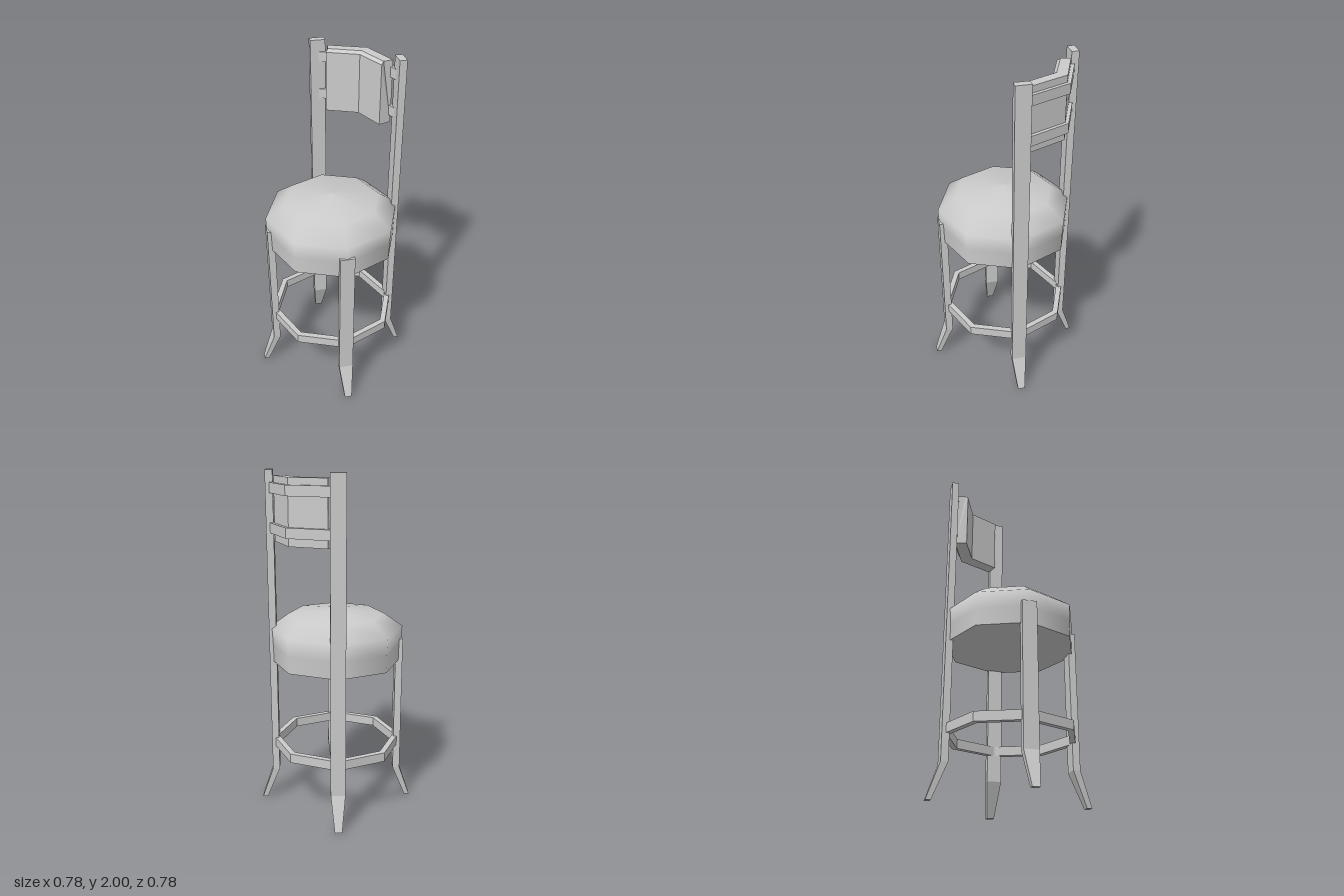
import * as THREE from 'three';

const grey = () => new THREE.MeshStandardMaterial({ color: 0xcccccc, flatShading: true });

// Join equal-length loops of points into a closed solid with capped ends.
function loft(loops) {
  const pos = [];
  const tri = (a, b, c) => pos.push(...a, ...b, ...c);
  for (let s = 0; s < loops.length - 1; s++) {
    const a = loops[s], b = loops[s + 1];
    a.forEach((p, i) => {
      const j = (i + 1) % a.length;
      tri(p, a[j], b[j]);
      tri(p, b[j], b[i]);
    });
  }
  const first = loops[0], last = loops[loops.length - 1];
  for (let i = 1; i < first.length - 1; i++) {
    tri(first[0], first[i + 1], first[i]);
    tri(last[0], last[i], last[i + 1]);
  }
  const g = new THREE.BufferGeometry();
  g.setAttribute('position', new THREE.Float32BufferAttribute(pos, 3));
  g.computeVertexNormals();
  return g;
}

// Octagon corners from step a to step b; step 2 points to the back.
function corners(r, a, b) {
  const pts = [];
  for (let i = a; i <= b; i++) {
    pts.push(new THREE.Vector2(r * Math.cos(i * Math.PI / 4), r * Math.sin(i * Math.PI / 4)));
  }
  return pts;
}

function slab(shape, y, height) {
  const g = new THREE.ExtrudeGeometry(shape, { depth: height, bevelEnabled: false });
  g.rotateX(-Math.PI / 2);
  g.translate(0, y, 0);
  return g;
}

export function createModel() {
  const model = new THREE.Group();
  model.name = 'barStool';
  const add = (name, geometry, material = grey()) => {
    const mesh = new THREE.Mesh(geometry, material);
    mesh.name = name;
    model.add(mesh);
    return mesh;
  };

  // Padded octagonal seat with a softly shaded low crown
  const profile = [[0.385, 0.9], [0.387, 1.0], [0.392, 1.1], [0.28, 1.18], [0, 1.217]]
    .map(([x, y]) => new THREE.Vector2(x, y));
  add('seatCushion', new THREE.LatheGeometry(profile, 8),
    new THREE.MeshStandardMaterial({ color: 0xcccccc }));
  const base = new THREE.CircleGeometry(0.385, 8);
  base.rotateX(Math.PI / 2);
  base.translate(0, 0.9, 0);
  add('seatBase', base);

  // Legs: local z points outwards, feet taper and splay
  const section = (y, inner, outer, w) =>
    [[w, y, outer], [w, y, inner], [-w, y, inner], [-w, y, outer]];
  const leg = (name, height, angle) => {
    const mesh = add(name, loft([
      section(0, 0.43, 0.46, 0.021),
      section(0.2, 0.35, 0.392, 0.0425),
      section(height, 0.35, 0.392, 0.0425),
    ]));
    mesh.rotation.y = angle;
  };
  leg('frontLegLeft', 1.03, Math.PI / 4);
  leg('frontLegRight', 1.03, -Math.PI / 4);
  leg('backPostLeft', 2, 3 * Math.PI / 4);
  leg('backPostRight', 2, -3 * Math.PI / 4);

  // Octagonal footrest ring
  const ring = new THREE.Shape(corners(0.387, 0, 7));
  ring.holes.push(new THREE.Path(corners(0.352, 0, 7).reverse()));
  add('footrestRing', slab(ring, 0.355, 0.055));

  // Two bent rails between the back posts
  const rail = new THREE.Shape([...corners(0.387, 1, 3), ...corners(0.352, 1, 3).reverse()]);
  add('lowerBackRail', slab(rail, 1.655, 0.057));
  add('upperBackRail', slab(rail, 1.875, 0.057));

  // Bent backrest pad, narrower in front and chamfered along its top
  const padSection = (backX, frontX, backZ, topZ, frontZ) => [
    [backX, 1.61, backZ], [backX, 1.97, backZ], [frontX, 1.97, topZ],
    [frontX, 1.955, frontZ], [frontX, 1.61, frontZ],
  ];
  add('backrestPad', loft([
    padSection(-0.207, -0.174, -0.28, -0.235, -0.215),
    padSection(0, 0, -0.367, -0.305, -0.286),
    padSection(0.207, 0.174, -0.28, -0.235, -0.215),
  ]));

  return model;
}
